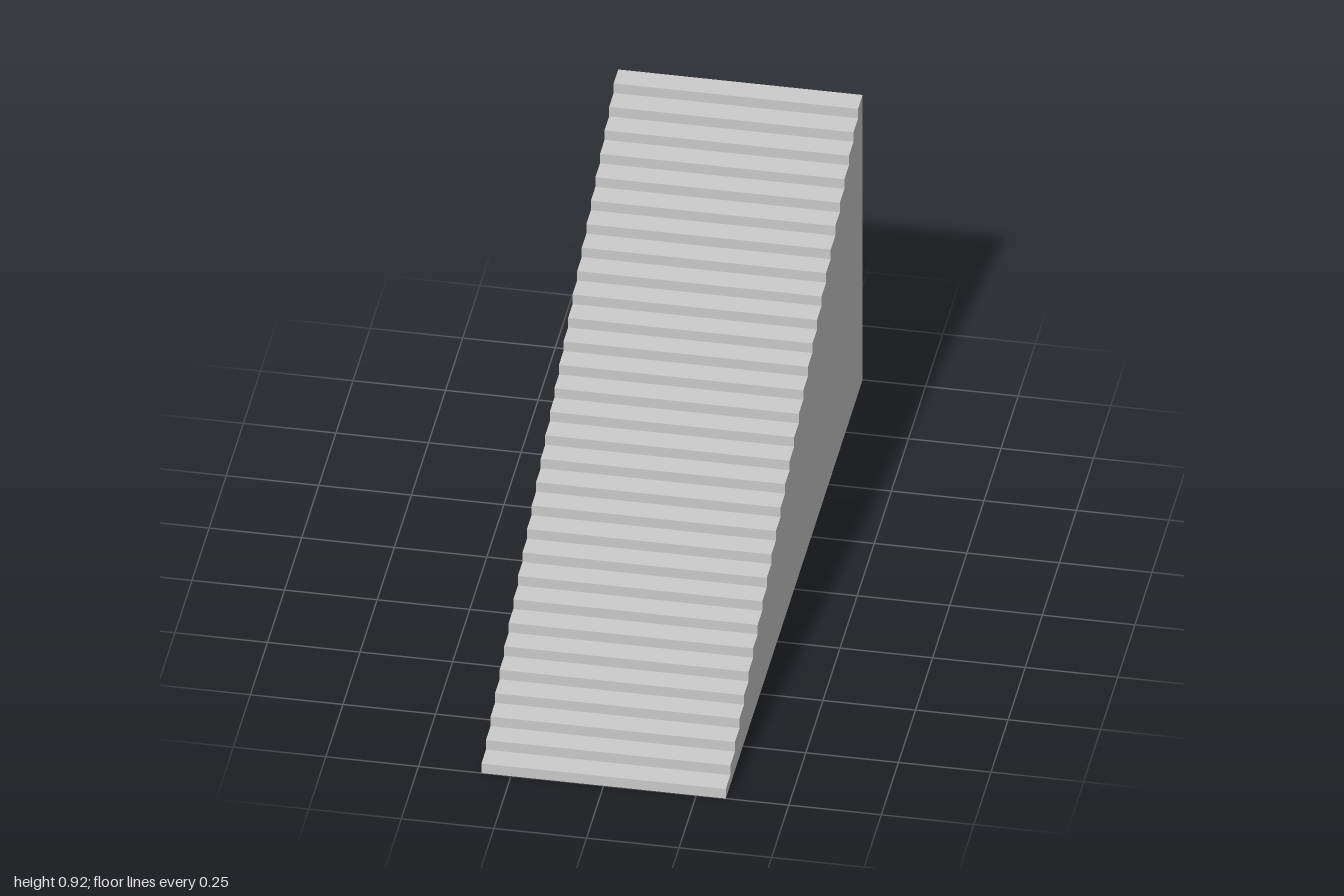
import * as THREE from 'three';
import { mergeGeometries } from 'three/addons/utils/BufferGeometryUtils.js';

const STEPS = 30, WIDTH = 0.66, HEIGHT = 0.917, LENGTH = 2;
const RISE = HEIGHT / STEPS, RUN = LENGTH / STEPS;

export function createModel() {
  const group = new THREE.Group();
  const material = new THREE.MeshStandardMaterial({
    color: 0xcccccc, flatShading: true, side: THREE.DoubleSide,
  });
  const add = (name, geometry) => {
    const mesh = new THREE.Mesh(geometry, material);
    mesh.name = name;
    group.add(mesh);
    return mesh;
  };

  // Risers and treads, climbing from the front (+z) to the back
  const risers = [], treads = [];
  for (let i = 0; i < STEPS; i++) {
    const z = LENGTH / 2 - i * RUN;
    risers.push(new THREE.PlaneGeometry(WIDTH, RISE).translate(0, (i + 0.5) * RISE, z));
    treads.push(new THREE.PlaneGeometry(WIDTH, RUN).rotateX(-Math.PI / 2)
      .translate(0, (i + 1) * RISE, z - RUN / 2));
  }
  add('risers', mergeGeometries(risers));
  add('treads', mergeGeometries(treads));

  // Stepped side walls; shape x runs from front to back
  const profile = new THREE.Shape();
  profile.moveTo(-LENGTH / 2, 0);
  for (let i = 0; i < STEPS; i++) {
    profile.lineTo(-LENGTH / 2 + i * RUN, (i + 1) * RISE);
    profile.lineTo(-LENGTH / 2 + (i + 1) * RUN, (i + 1) * RISE);
  }
  profile.lineTo(LENGTH / 2, 0);
  add('leftWall', new THREE.ShapeGeometry(profile).rotateY(Math.PI / 2)).position.x = WIDTH / 2;

  // Mirrored wall, drawn from the reversed outline so it faces outward
  const mirrored = new THREE.Shape(profile.getPoints().map((p) => new THREE.Vector2(-p.x, p.y)));
  add('rightWall', new THREE.ShapeGeometry(mirrored).rotateY(-Math.PI / 2)).position.x = -WIDTH / 2;

  // Back wall; the underside stays open
  add('backWall', new THREE.PlaneGeometry(WIDTH, HEIGHT).rotateY(Math.PI)
    .translate(0, HEIGHT / 2, -LENGTH / 2));

  return group;
}
